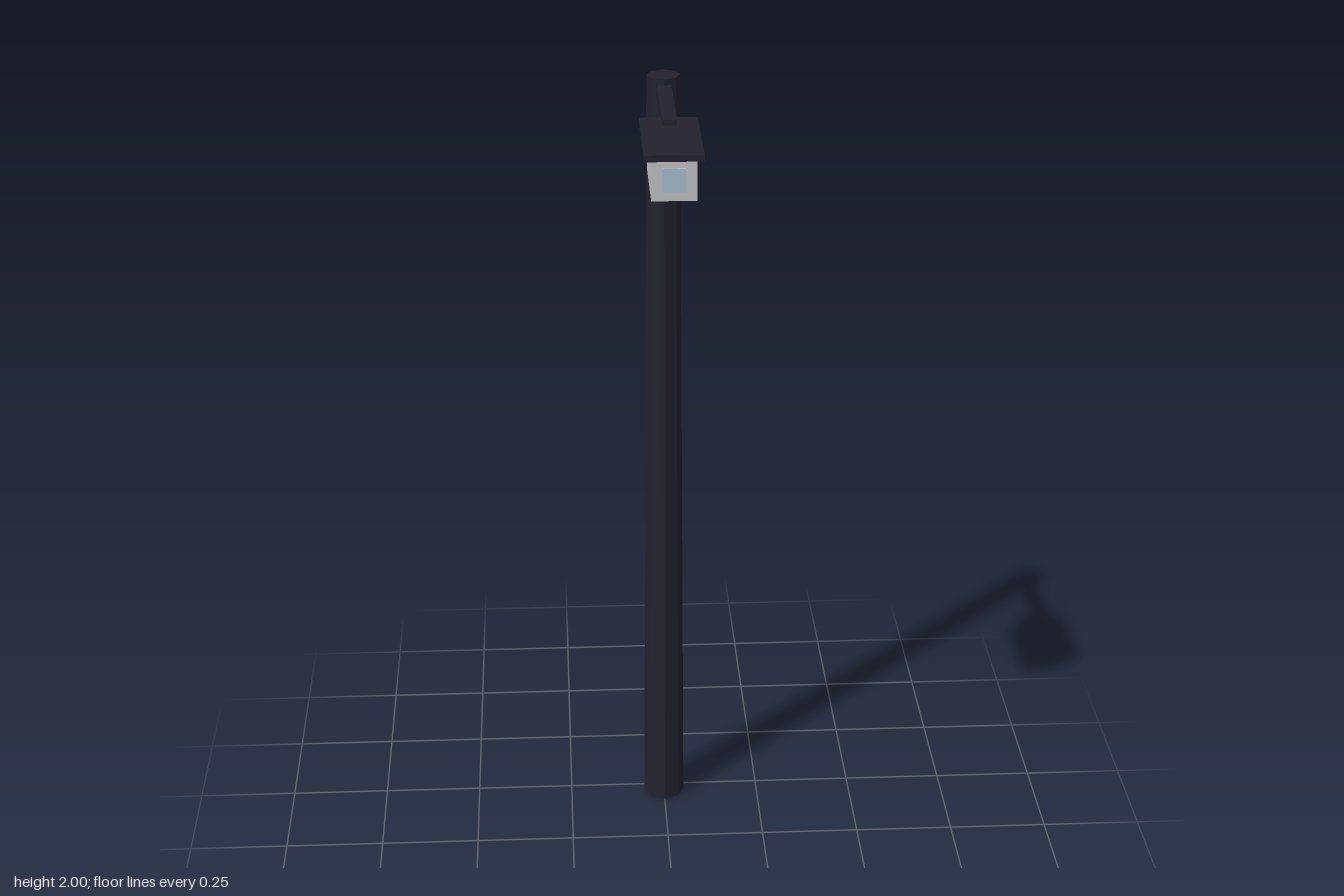
import * as THREE from 'three';

const flat = (name, color) => {
  const m = new THREE.MeshStandardMaterial({ color });
  m.name = name;
  return m;
};

export function createModel() {
  const group = new THREE.Group();
  const dark = flat('dark metal', 0x23222d);
  const grey = flat('light grey', 0xc4c2c5);
  const glass = flat('pale blue glass', 0xa9bfd2);

  const add = (name, geometry, material, x, y, z) => {
    const mesh = new THREE.Mesh(geometry, material);
    mesh.name = name;
    mesh.position.set(x, y, z);
    group.add(mesh);
  };

  // Box given by its half width and its y and z ranges
  const box = (name, material, halfX, y0, y1, z0, z1) =>
    add(name, new THREE.BoxGeometry(halfX * 2, y1 - y0, z1 - z0), material,
      0, (y0 + y1) / 2, (z0 + z1) / 2);

  // Tapered eight-sided pole
  const pole = new THREE.CylinderGeometry(0.04, 0.053, 2, 8).toNonIndexed();
  pole.computeVertexNormals();
  add('pole', pole, dark, 0, 1, -0.227);

  // Arm reaching forward over the camera
  box('arm', dark, 0.017, 1.954, 1.985, -0.215, 0.071);

  // Sun hood and camera body with a dark underside
  box('hood', dark, 0.067, 1.957, 1.972, 0.012, 0.279);
  box('cameraBody', [grey, grey, grey, dark, grey, grey], 0.051, 1.865, 1.958, 0.053, 0.275);

  // Lens window on the front
  box('lens', glass, 0.027, 1.887, 1.941, 0.272, 0.28);

  return group;
}
